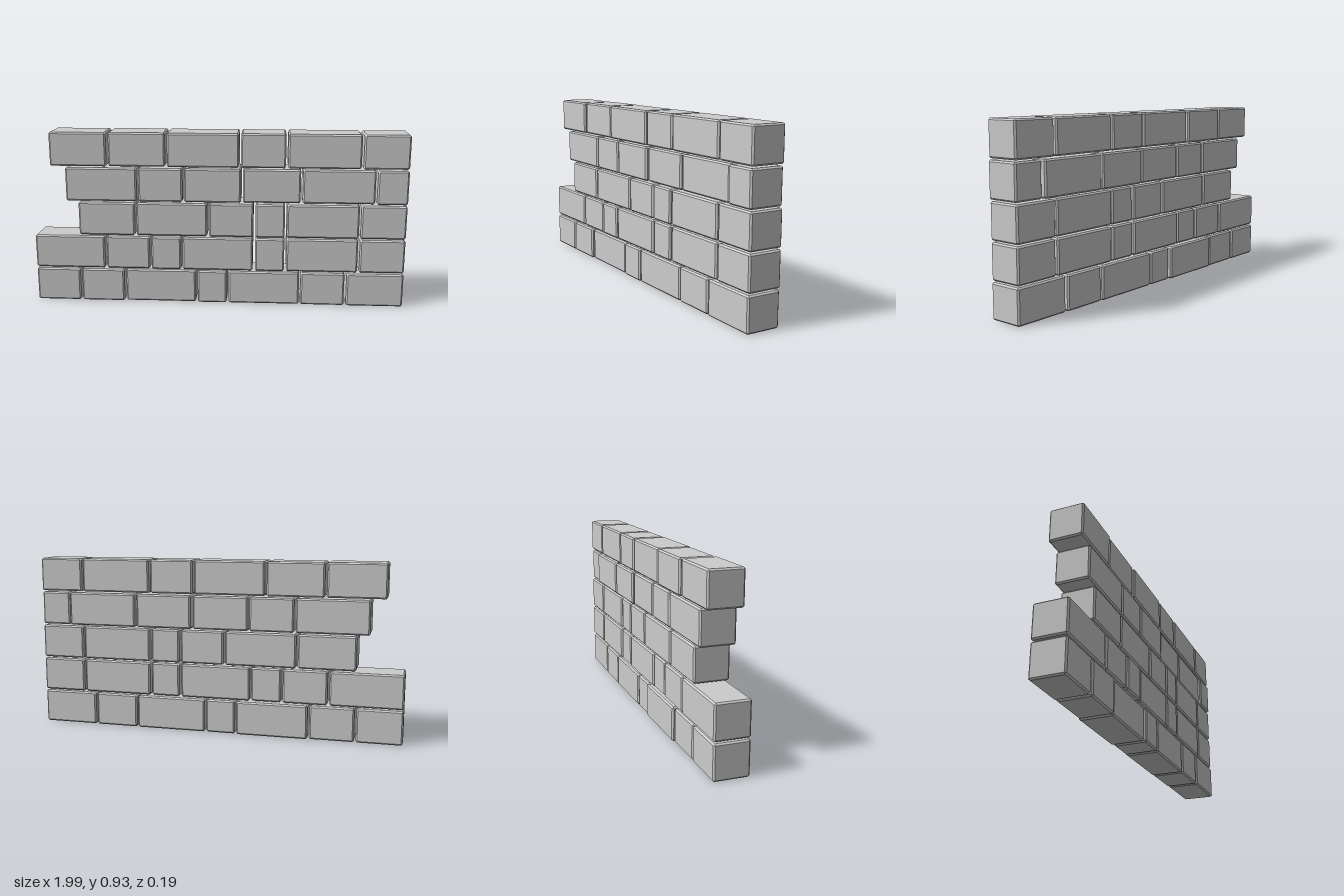
import * as THREE from 'three';
import { ConvexGeometry } from 'three/addons/geometries/ConvexGeometry.js';

const DEPTH = 0.18, HEIGHT = 0.18, PITCH = 0.1875, CHAMFER = 0.008;

// Courses from bottom to top; each block is [left x, right x, z offset]
const COURSES = [
  [[-0.995, -0.757, 0], [-0.747, -0.514, 0.002], [-0.504, -0.122, -0.006], [-0.111, 0.046, 0.002],
    [0.057, 0.439, 0], [0.447, 0.682, 0.003], [0.693, 0.995, 0.006]],
  [[-0.995, -0.616, 0], [-0.605, -0.37, 0.002], [-0.36, -0.2, 0.006], [-0.192, 0.187, 0.003],
    [0.2, 0.356, 0.005], [0.367, 0.747, 0.002], [0.757, 0.995, 0.003]],
  [[-0.75, -0.447, 0.003], [-0.438, -0.058, 0.002], [-0.047, 0.188, 0.004], [0.2, 0.356, 0.006],
    [0.367, 0.748, 0.003], [0.757, 0.995, 0.002]],
  [[-0.814, -0.434, 0.002], [-0.424, -0.189, 0.002], [-0.18, 0.121, 0.003], [0.132, 0.436, -0.005],
    [0.447, 0.826, -0.006], [0.834, 0.995, 0.006]],
  [[-0.894, -0.592, 0.001], [-0.581, -0.28, -0.005], [-0.269, 0.11, 0.001], [0.121, 0.356, -0.002],
    [0.367, 0.747, 0], [0.757, 0.995, 0.001]],
];

// Box with every edge cut at 45 degrees: three inset corner points per corner
function chamferedBox(w, h, d, c) {
  const points = [];
  for (const sx of [-1, 1]) for (const sy of [-1, 1]) for (const sz of [-1, 1]) {
    for (let axis = 0; axis < 3; axis++) {
      const inset = [c, c, c];
      inset[axis] = 0;
      points.push(new THREE.Vector3(
        sx * (w / 2 - inset[0]), sy * (h / 2 - inset[1]), sz * (d / 2 - inset[2])));
    }
  }
  return new ConvexGeometry(points);
}

export function createModel() {
  const wall = new THREE.Group();
  wall.name = 'brickWall';
  const stone = new THREE.MeshStandardMaterial({ color: 0xcccccc, flatShading: true });

  COURSES.forEach((blocks, row) => {
    const course = new THREE.Group();
    course.name = `course${row + 1}`;
    course.position.y = 0.005 + HEIGHT / 2 + row * PITCH;
    blocks.forEach(([left, right, z], i) => {
      const block = new THREE.Mesh(chamferedBox(right - left, HEIGHT, DEPTH, CHAMFER), stone);
      block.name = `block${i + 1}`;
      block.position.set((left + right) / 2, 0, z);
      course.add(block);
    });
    wall.add(course);
  });
  return wall;
}
